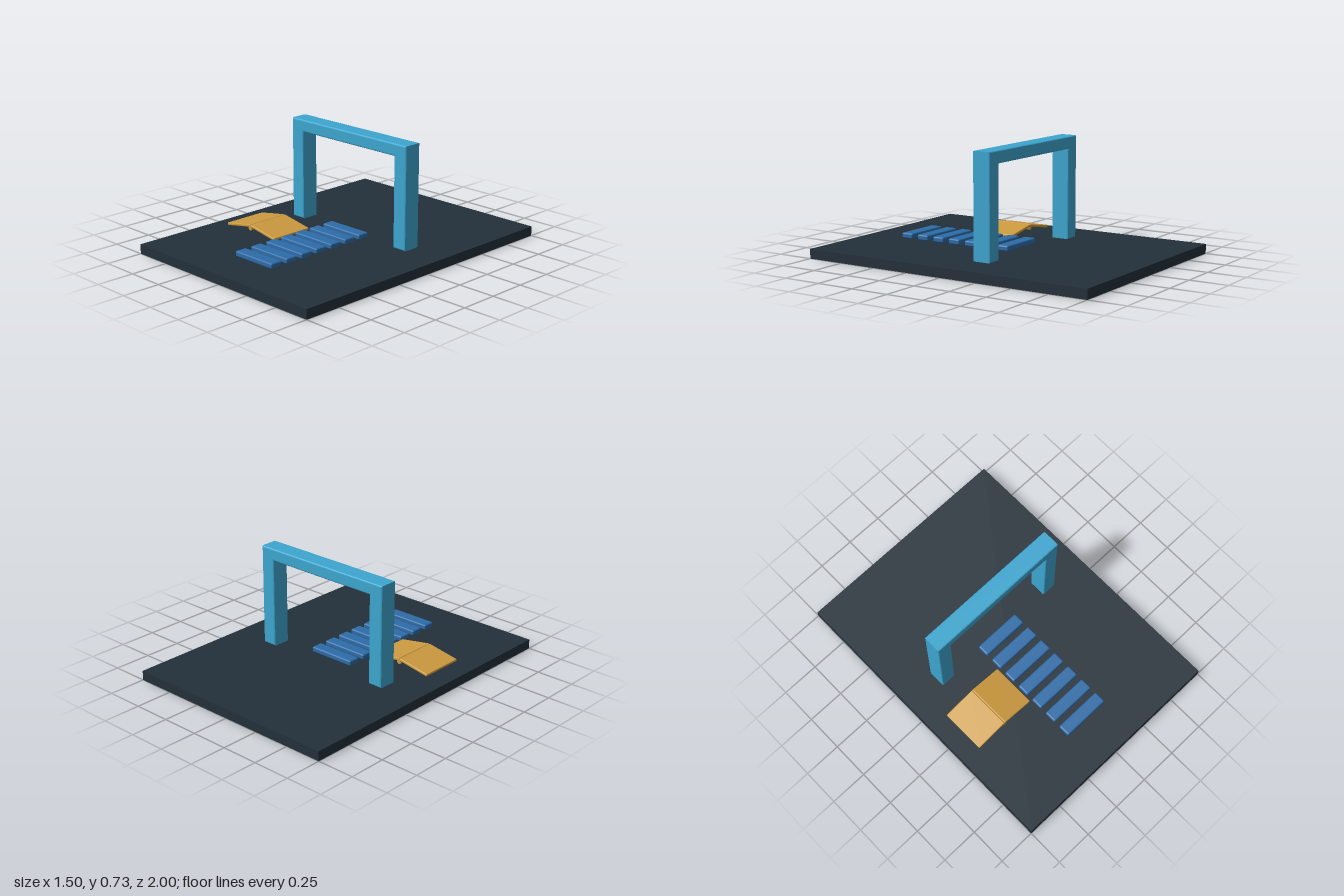
import * as THREE from 'three';
import { RoundedBoxGeometry } from 'three/addons/geometries/RoundedBoxGeometry.js';

const BASE_TOP = 0.0625;

function material(name, color) {
  const m = new THREE.MeshStandardMaterial({ color });
  m.name = name;
  return m;
}

export function createModel() {
  const model = new THREE.Group();
  model.name = 'agilityCourse';
  const slate = material('darkSlate', 0x24303a);
  const sky = material('skyBlue', 0x3da6d0);
  const blue = material('deepBlue', 0x2d6ca8);
  const ochre = material('ochre', 0xcd9b40);

  function add(name, geometry, mat, x, y, z, parent = model) {
    const mesh = new THREE.Mesh(geometry, mat);
    mesh.name = name;
    mesh.position.set(x, y, z);
    parent.add(mesh);
    return mesh;
  }

  // Base plate
  add('basePlate', new THREE.BoxGeometry(1.5, BASE_TOP, 2), slate, 0, BASE_TOP / 2, 0);

  // Arch: one bevelled U-shaped frame
  const outline = [
    [-0.5, BASE_TOP], [-0.4, BASE_TOP], [-0.4, 0.65], [0.4, 0.65],
    [0.4, BASE_TOP], [0.5, BASE_TOP], [0.5, 0.73], [-0.5, 0.73],
  ];
  const shape = new THREE.Shape(outline.map(([x, y]) => new THREE.Vector2(x, y)));
  const bevel = 0.01, archDepth = 0.123;
  const archGeometry = new THREE.ExtrudeGeometry(shape, {
    depth: archDepth - 2 * bevel, bevelEnabled: true, bevelSize: bevel,
    bevelThickness: bevel, bevelOffset: -bevel, bevelSegments: 3,
  });
  add('arch', archGeometry, sky, 0, 0, -0.126 - archDepth / 2 + bevel);

  // Row of seven slats
  const slats = new THREE.Group();
  slats.name = 'slatRow';
  model.add(slats);
  const slatGeometry = new RoundedBoxGeometry(0.325, 0.036, 0.082, 3, 0.01);
  for (let i = 0; i < 7; i++) {
    add('slat', slatGeometry, blue, 0, 0.083, 0.688 - i * 0.123, slats);
  }

  // Folding ramp: two tilted panels meeting over a hinge rod
  const ramp = new THREE.Group();
  ramp.name = 'foldingRamp';
  ramp.position.set(-0.4, 0, 0.25);
  model.add(ramp);
  const panelGeometry = new RoundedBoxGeometry(0.225, 0.018, 0.3, 3, 0.006);
  for (const side of [-1, 1]) {
    const panel = add('rampPanel', panelGeometry, ochre, side * 0.111, 0.104, 0, ramp);
    panel.rotation.z = -side * THREE.MathUtils.degToRad(10);
  }
  const hinge = add('hingeRod', new THREE.CylinderGeometry(0.015, 0.015, 0.3, 16), ochre, 0, 0.108, 0, ramp);
  hinge.rotation.x = Math.PI / 2;

  return model;
}
